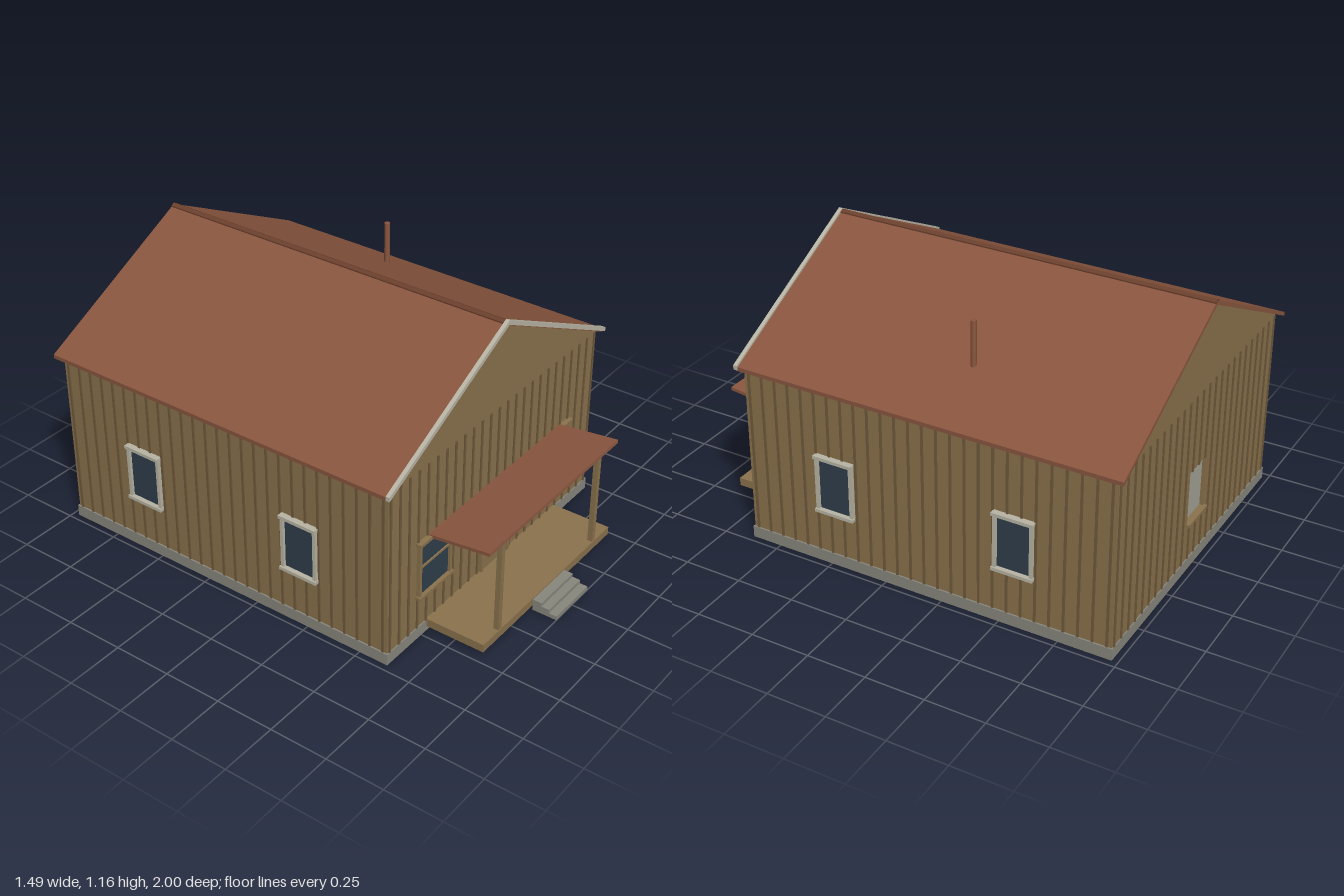
import * as THREE from 'three';

const mat = (name, color) => {
  const m = new THREE.MeshStandardMaterial({ color });
  m.name = name;
  return m;
};

export function createModel() {
  const wood = mat('wood siding', 0x8b734d);
  const batten = mat('dark batten', 0x705b3c);
  const roofRed = mat('rust roof', 0x8a563f);
  const ridgeRed = mat('dark ridge', 0x6b3f2d);
  const concrete = mat('concrete', 0x88877e);
  const trim = mat('pale trim', 0xb9b5a5);
  const glass = mat('window glass', 0x2f3e4b);

  const house = new THREE.Group();
  house.name = 'cabin';
  const add = (name, geo, material, parent = house) => {
    const m = new THREE.Mesh(geo, material);
    m.name = name;
    parent.add(m);
    return m;
  };
  // box from its two extreme corners
  const box = (name, material, x0, x1, y0, y1, z0, z1, parent) => {
    const m = add(name, new THREE.BoxGeometry(x1 - x0, y1 - y0, z1 - z0), material, parent);
    m.position.set((x0 + x1) / 2, (y0 + y1) / 2, (z0 + z1) / 2);
    return m;
  };
  const outline = pts => new THREE.Shape(pts.map(p => new THREE.Vector2(...p)));
  const slab = (name, shape, z0, z1, material) => {
    const m = add(name, new THREE.ExtrudeGeometry(shape, { depth: z1 - z0, bevelEnabled: false }), material);
    m.position.z = z0;
    return m;
  };

  const W = 0.715, FRONT = 0.625, BACK = -0.97, BASE = 0.05, EAVE = 0.78, T = 0.015;

  // foundation and walls
  box('foundation', concrete, -0.722, 0.722, 0, BASE, -0.975, 0.63);
  const gable = () => outline([[-W, BASE], [W, BASE], [W, EAVE], [0, 1.14], [-W, EAVE]]);
  slab('frontWall', gable(), FRONT - T, FRONT, wood);
  const backShape = gable();
  backShape.holes.push(new THREE.Path([[-0.075, 0.22], [-0.075, 0.45], [0.075, 0.45], [0.075, 0.22]]
    .map(p => new THREE.Vector2(...p))));
  slab('backWall', backShape, BACK, BACK + T, wood);
  for (const s of [-1, 1]) {
    const x = s * (W - T / 2);
    box('sideWall', wood, x - T / 2, x + T / 2, BASE, EAVE, BACK + T, FRONT - T);
  }

  // vertical battens, kept clear of the openings
  const battens = new THREE.Group();
  battens.name = 'battens';
  house.add(battens);
  const P = 0.005, HW = 0.005;
  for (let i = -12; i <= 12; i++) {
    const x = i * 0.0585;
    const spans = (a, y0, y1, clear) => clear ? [[BASE, y0], [y1, EAVE]] : [[BASE, EAVE]];
    const inWindow = Math.abs(Math.abs(x) - 0.425) < 0.105;
    const inDoor = Math.abs(x) < 0.1;
    for (const [a, b] of spans(x, inDoor ? 0.051 : 0.2, 0.44, inWindow || inDoor))
      box('frontBatten', batten, x - HW, x + HW, a, b, FRONT, FRONT + P, battens);
    for (const [a, b] of spans(x, 0.22, 0.45, Math.abs(x) < 0.08))
      box('backBatten', batten, x - HW, x + HW, a, b, BACK - P, BACK, battens);
  }
  for (let i = 0; i <= 26; i++) {
    const z = BACK + 0.02 + i * 0.0598;
    const clear = Math.abs(z - 0.22) < 0.085 || Math.abs(z + 0.5625) < 0.085;
    for (const s of [-1, 1])
      for (const [a, b] of clear ? [[BASE, 0.24], [0.485, EAVE]] : [[BASE, EAVE]]) {
        const x = s * (W + P / 2);
        box('sideBatten', batten, x - P / 2, x + P / 2, a, b, z - HW, z + HW, battens);
      }
  }

  // framed window facing +z, centred on its group origin in x
  const windowUnit = (name, w, y0, y1, frame, depth, lip) => {
    const g = new THREE.Group();
    g.name = name;
    house.add(g);
    const f = 0.014;
    box('pane', glass, -w + f, w - f, y0 + f, y1 - f, 0, 0.006, g);
    for (const s of [-1, 1]) {
      const x = s * (w - f / 2);
      box('jamb', frame, x - f / 2, x + f / 2, y0, y1, 0, depth, g);
    }
    box('sill', frame, -w - lip, w + lip, y0, y0 + f, 0, depth + 0.007, g);
    box('head', frame, -w - lip, w + lip, y1 - f, y1, 0, depth + 0.007, g);
    return g;
  };
  for (const s of [-1, 1]) {
    const fw = windowUnit('frontWindow', 0.107, 0.192, 0.455, wood, 0.016, 0.006);
    fw.position.set(s * 0.425, 0, FRONT);
    box('middleRail', wood, -0.095, 0.095, 0.33, 0.338, 0.004, 0.012, fw);
    for (const z of [0.22, -0.5625]) {
      const sw = windowUnit('sideWindow', 0.084, 0.237, 0.49, trim, 0.019, 0.003);
      sw.position.set(s * W, 0, z);
      sw.rotation.y = s * Math.PI / 2;
    }
  }
  box('backSill', wood, -0.085, 0.085, 0.21, 0.222, BACK - 0.015, BACK + T);

  // front door
  box('door', wood, -0.085, 0.085, 0.055, 0.425, FRONT, FRONT + 0.007);
  box('doorRail', wood, -0.085, 0.085, 0.24, 0.249, FRONT, FRONT + 0.012);
  box('doorTransom', glass, -0.085, 0.085, 0.424, 0.434, FRONT, FRONT + 0.008);
  for (const s of [-1, 1])
    box('doorJamb', wood, s * 0.093 - 0.008, s * 0.093 + 0.008, 0.055, 0.434, FRONT, FRONT + 0.014);
  box('doorHead', wood, -0.11, 0.11, 0.432, 0.444, FRONT, FRONT + 0.018);

  // roof, rake trim, ridge and stovepipe
  const chevron = (x, top, eave, t) => outline([
    [-x, eave], [-x, eave - t], [0, top - t], [x, eave - t], [x, eave], [0, top]]);
  slab('roof', chevron(0.742, 1.157, 0.785, 0.017), -1, 0.64, roofRed);
  slab('rakeTrim', chevron(0.746, 1.165, 0.792, 0.019), 0.635, 0.652, trim);
  slab('ridgeCap', chevron(0.015, 1.163, 1.155, 0.01), -1, 0.636, ridgeRed);
  const pipe = add('stovepipe', new THREE.CylinderGeometry(0.012, 0.012, 0.21, 12), roofRed);
  pipe.position.set(0.48, 0.995, -0.255);

  // porch
  box('porchFloor', wood, -0.465, 0.465, 0.02, 0.055, FRONT, 0.89);
  for (const s of [-1, 1])
    box('porchPost', wood, s * 0.348 - 0.011, s * 0.348 + 0.011, 0.055, 0.472, 0.865, 0.887);
  const porchRoof = add('porchRoof', new THREE.BoxGeometry(0.93, 0.014, 0.272), roofRed);
  porchRoof.position.set(0, 0.467, 0.764);
  porchRoof.rotation.x = -0.115;

  // steps
  [[0.05, 0.93], [0.034, 0.965], [0.018, 1]].forEach(([h, z], i) =>
    box('step', concrete, -0.117, 0.117, 0, h, i ? z - 0.035 : 0.89, z));

  return house;
}
